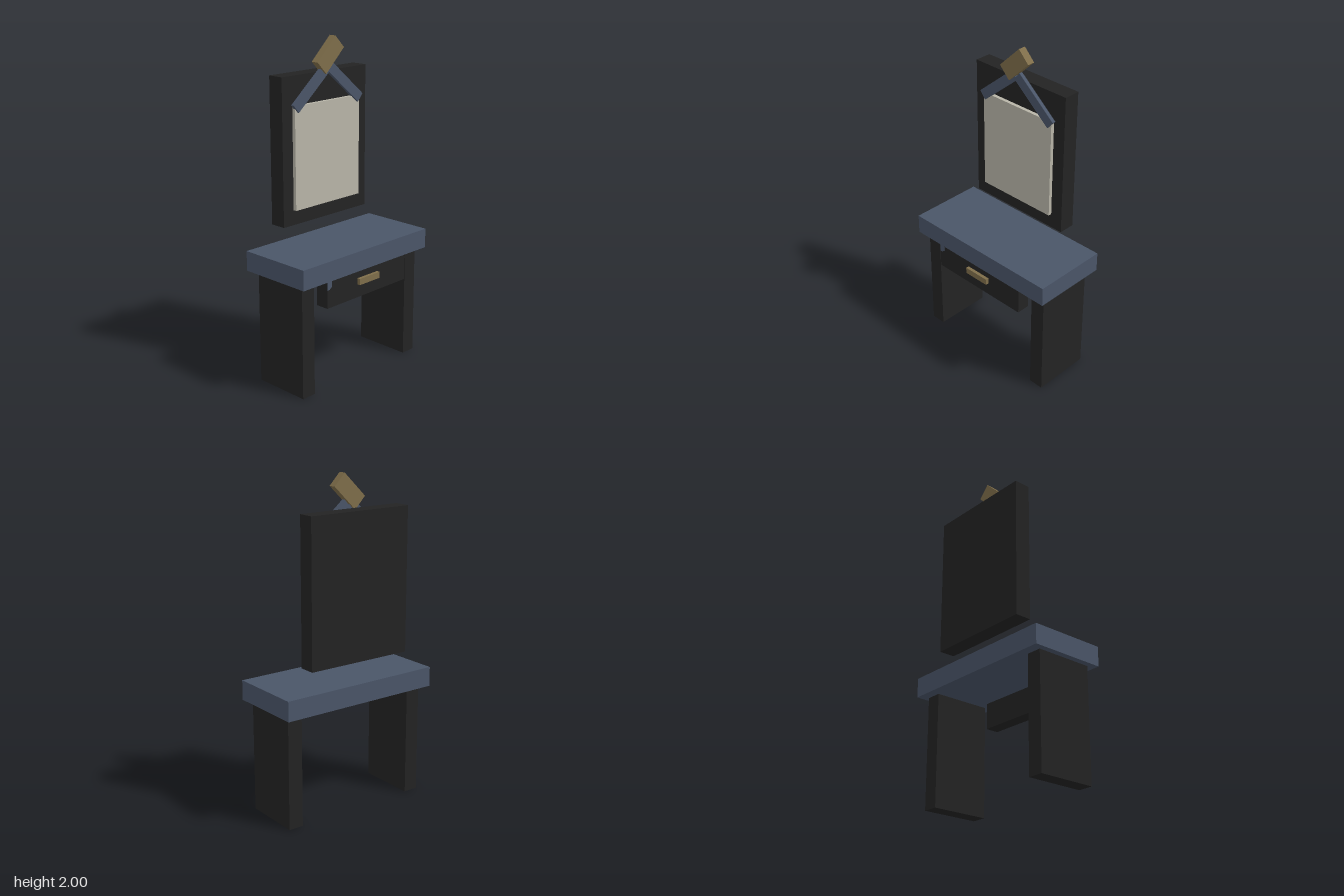
import * as THREE from 'three';

const material = (name, color) => {
  const m = new THREE.MeshStandardMaterial({ color });
  m.name = name;
  return m;
};

export function createModel() {
  const group = new THREE.Group();
  const slate = material('slate blue', 0x4a5568);
  const black = material('charcoal black', 0x232323);
  const brass = material('aged brass', 0x7f6e4a);
  const glass = material('mirror grey', 0xb8b5a8);

  // Box given by its extents on each axis
  const box = (name, mat, [x0, x1], [y0, y1], [z0, z1]) => {
    const mesh = new THREE.Mesh(new THREE.BoxGeometry(x1 - x0, y1 - y0, z1 - z0), mat);
    mesh.position.set((x0 + x1) / 2, (y0 + y1) / 2, (z0 + z1) / 2);
    mesh.name = name;
    group.add(mesh);
    return mesh;
  };

  // Table
  box('tableTop', slate, [-0.52, 0.52], [0.685, 0.805], [-0.243, 0.228]);
  box('leftLeg', black, [0.39, 0.483], [0, 0.685], [-0.184, 0.176]);
  box('rightLeg', black, [-0.483, -0.39], [0, 0.685], [-0.184, 0.176]);

  // Drawer with its pull
  box('drawer', black, [-0.332, 0.33], [0.525, 0.685], [0.14, 0.223]);
  box('drawerHandle', brass, [-0.084, 0.084], [0.605, 0.643], [0.213, 0.243]);

  // Small blue corner inlay on the drawer front
  const inlay = new THREE.Shape([
    [-0.332, 0.685], [-0.332, 0.635], [-0.316, 0.635], [-0.298, 0.648], [-0.298, 0.685],
  ].map(([x, y]) => new THREE.Vector2(x, y)));
  const corner = new THREE.Mesh(
    new THREE.ExtrudeGeometry(inlay, { depth: 0.003, bevelEnabled: false }), slate);
  corner.position.z = 0.222;
  corner.name = 'drawerCornerInlay';
  group.add(corner);

  // Mirror
  box('mirrorFrame', black, [-0.34, 0.34], [0.93, 1.8], [-0.219, -0.118]);
  box('mirrorPane', glass, [-0.262, 0.262], [1.02, 1.63], [-0.12, -0.096]);

  // Sloping ribbon strips, mirrored, meeting under the knot
  for (const side of [1, -1]) {
    const strip = box(side > 0 ? 'leftStrip' : 'rightStrip', slate,
      [-0.165, 0.165], [-0.03, 0.03], [-0.107, -0.085]);
    strip.position.x = side * 0.135;
    strip.position.y = 1.721;
    strip.rotation.z = -side * THREE.MathUtils.degToRad(40);
  }

  // Tilted block at the crown
  const crown = box('crownBlock', brass, [-0.1, 0.1], [-0.05, 0.05], [-0.118, -0.071]);
  crown.position.y = 1.895;
  crown.rotation.z = THREE.MathUtils.degToRad(44);

  return group;
}
